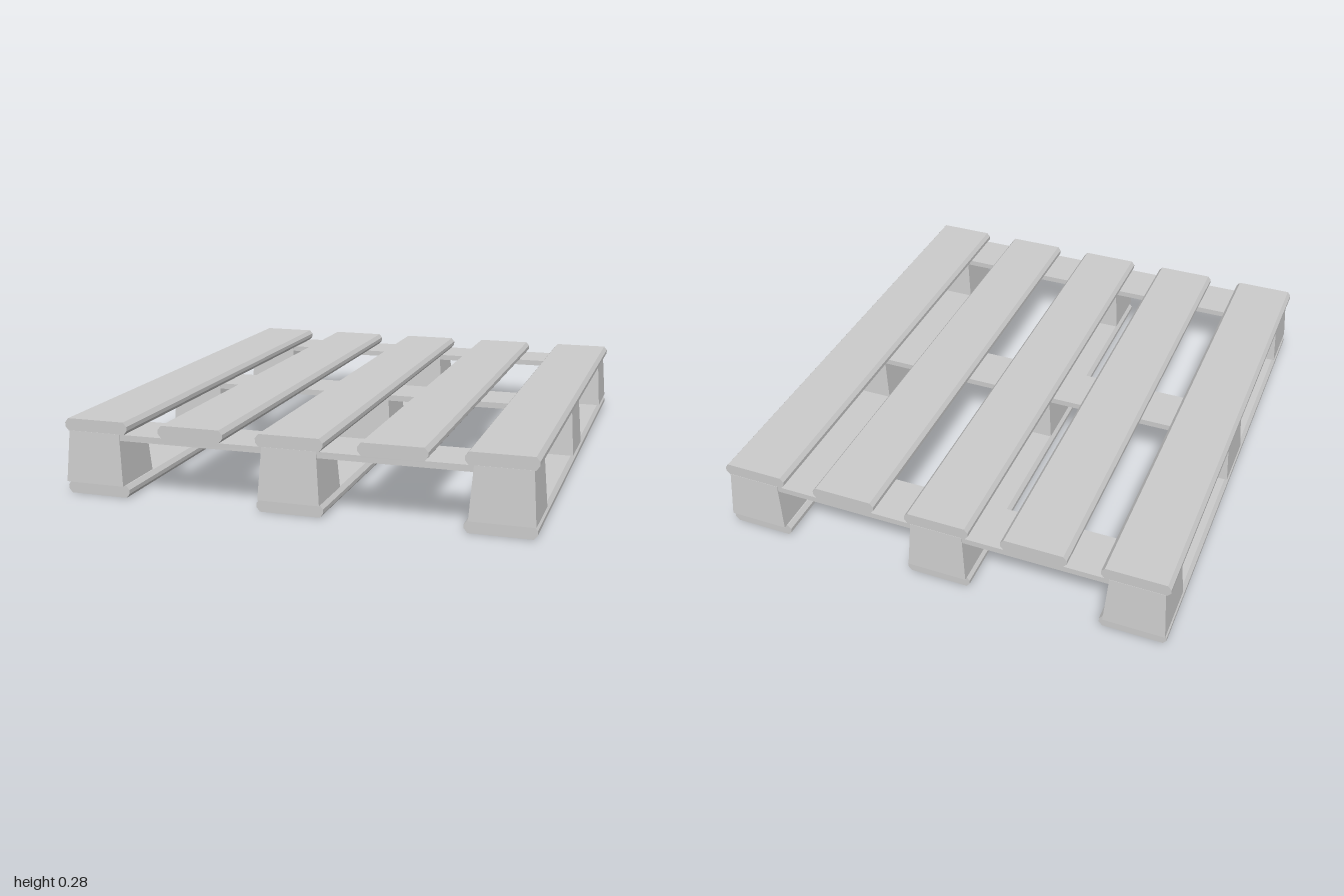
import * as THREE from 'three';

export function createModel() {
  const pallet = new THREE.Group();
  pallet.name = 'pallet';
  const material = new THREE.MeshStandardMaterial({ color: 0xcccccc, flatShading: true });

  const add = (name, geometry, x, y, z) => {
    const mesh = new THREE.Mesh(geometry, material);
    mesh.name = name;
    mesh.position.set(x, y, z);
    pallet.add(mesh);
  };

  // Long board with bevelled edges, extruded along z and standing on y = 0
  const W = 0.125, H = 0.047, C = 0.013, V = 0.016, L = 1.97;
  const section = new THREE.Shape([
    [-W + C, 0], [W - C, 0], [W, V], [W, H - V],
    [W - C, H], [-W + C, H], [-W, H - V], [-W, V],
  ].map(([x, y]) => new THREE.Vector2(x, y)));
  const board = new THREE.ExtrudeGeometry(section, { depth: L, bevelEnabled: false });
  board.translate(0, 0, -L / 2);

  // Block that narrows towards the top
  const blockHeight = 0.192;
  const block = new THREE.BoxGeometry(0.23, blockHeight, 0.23);
  const p = block.attributes.position;
  for (let i = 0; i < p.count; i++) {
    if (p.getY(i) > 0) {
      p.setX(i, p.getX(i) * 0.88);
      p.setZ(i, p.getZ(i) * 0.88);
    }
  }
  block.computeVertexNormals();

  // Five deck boards
  for (const x of [-0.75, -0.375, 0, 0.375, 0.75]) add('deckBoard', board, x, 0.238, 0);

  // Three bottom runners
  for (const x of [-0.75, 0, 0.75]) add('bottomBoard', board, x, 0, 0);

  // Cross boards under the deck, each resting on a row of three blocks
  const crossBoard = new THREE.BoxGeometry(1.5, 0.023, 0.2);
  for (const side of [-1, 0, 1]) {
    add('crossBoard', crossBoard, 0, 0.2267, side * 0.884);
    for (const x of [-0.757, 0, 0.757]) {
      add('block', block, x, 0.047 + blockHeight / 2, side * 0.885);
    }
  }

  return pallet;
}
